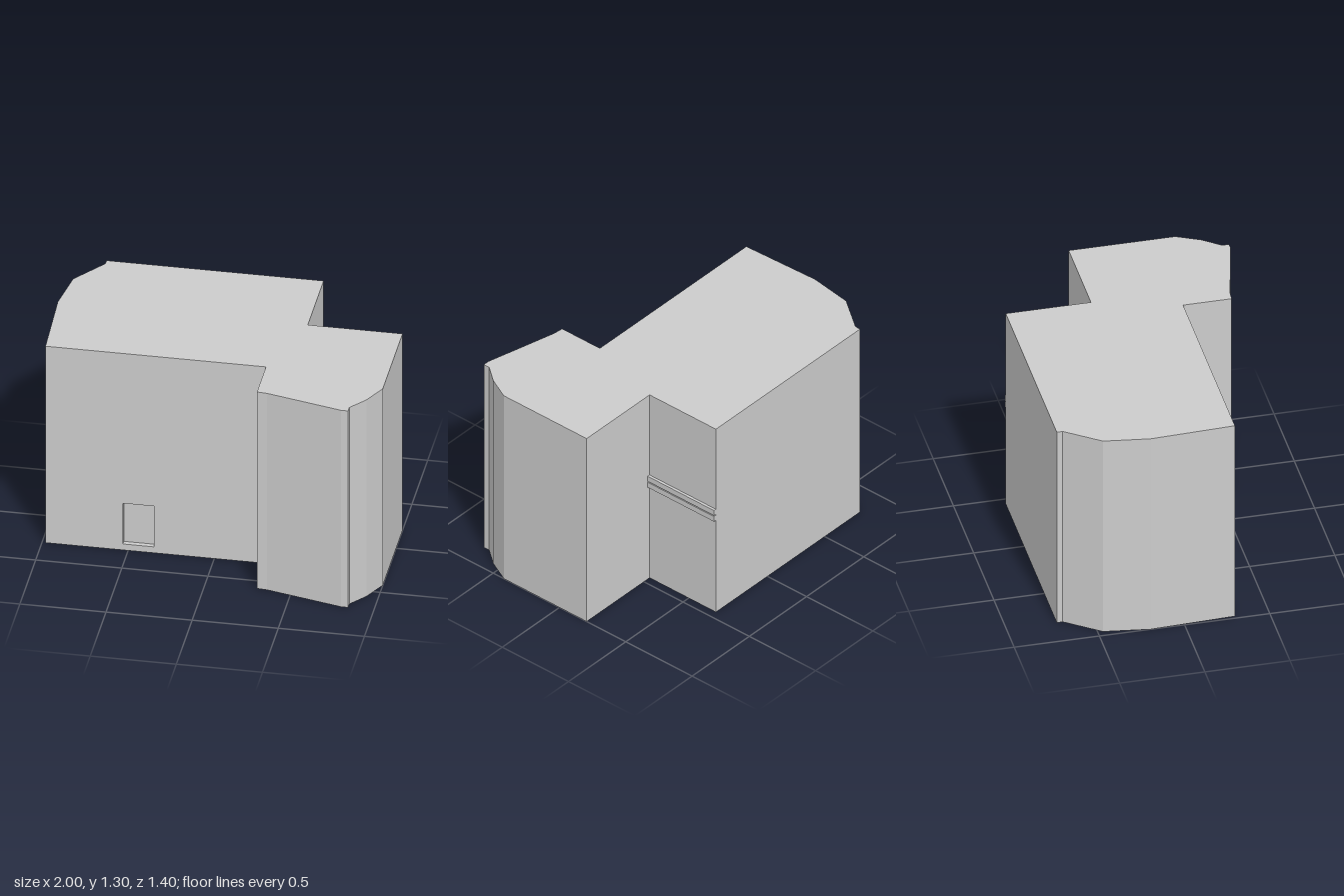
import * as THREE from 'three';

const HEIGHT = 1.305;
const WALL = 0.03; // wall thickness, also the depth of the recessed floor

// Plan outline as [x, -z], counter-clockwise, beginning at the front right corner
const OUTLINE = [
  [-0.98, -0.3], [0.3, -0.3], [0.3, -0.585], [0.36, -0.59], [0.81, -0.7], [0.85, -0.7],
  [0.85, -0.66], [0.93, -0.56], [1, -0.42], [1, 0.205], [0.45, 0.205], [0.45, 0.705],
  [-0.81, 0.705], [-0.81, 0.67], [-0.96, 0.47], [-1, 0.2],
].map(([x, y]) => new THREE.Vector2(x, y));

// Mitred inward offset of a counter-clockwise polygon
function inset(points, d) {
  const n = points.length;
  const normal = (a, b) => new THREE.Vector2(a.y - b.y, b.x - a.x).normalize();
  return points.map((p, i) => {
    const n1 = normal(points[(i + n - 1) % n], p);
    const n2 = normal(p, points[(i + 1) % n]);
    const scale = d / (1 + n1.dot(n2));
    return p.clone().addScaledVector(n1.add(n2), scale);
  });
}

// Upright prism over a plan polygon
function prism(points, y0, y1) {
  const geo = new THREE.ExtrudeGeometry(new THREE.Shape(points), { depth: y1 - y0, bevelEnabled: false });
  return geo.rotateX(-Math.PI / 2).translate(0, y0, 0);
}

// Box given by its limits on each axis
function block(x0, x1, y0, y1, z0, z1) {
  return new THREE.BoxGeometry(x1 - x0, y1 - y0, z1 - z0)
    .translate((x0 + x1) / 2, (y0 + y1) / 2, (z0 + z1) / 2);
}

export function createModel() {
  const model = new THREE.Group();
  model.name = 'building';
  const material = new THREE.MeshStandardMaterial({ color: 0xcccccc, flatShading: true });
  const add = (name, geo, parent = model) => {
    const mesh = new THREE.Mesh(geo, material);
    mesh.name = name;
    parent.add(mesh);
  };

  // Solid core, with its floor raised above the foot of the walls
  const inner = inset(OUTLINE, WALL);
  add('core', prism(inner, WALL, HEIGHT));

  // Outer walls, one mitred panel per side; the long front one is made separately
  const walls = new THREE.Group();
  walls.name = 'walls';
  model.add(walls);
  OUTLINE.forEach((p, i) => {
    if (i === 0) return;
    const j = (i + 1) % OUTLINE.length;
    add('wall', prism([p, OUTLINE[j], inner[j], inner[i]], 0, HEIGHT), walls);
  });

  // Front wall with a small window opening
  const front = new THREE.Shape();
  front.moveTo(-0.98, 0).lineTo(0.33, 0).lineTo(0.33, HEIGHT).lineTo(-0.98, HEIGHT).closePath();
  const opening = new THREE.Path();
  opening.moveTo(-0.53, 0.04).lineTo(-0.53, 0.31).lineTo(-0.35, 0.31).lineTo(-0.35, 0.04).closePath();
  front.holes.push(opening);
  add('frontWall', new THREE.ExtrudeGeometry(front, { depth: WALL, bevelEnabled: false })
    .translate(0, 0, 0.3 - WALL), walls);

  // Foot of the partition that carries the rear recess wall indoors
  add('partitionFoot', block(0.07, 0.47, 0, WALL + 0.01, -0.205, -0.205 + WALL));

  // Twin rails along the side of the rear recess
  for (const y of [0.655, 0.698]) add('rail', block(0.44, 0.467, y, y + 0.036, -0.705, -0.205));

  return model;
}
